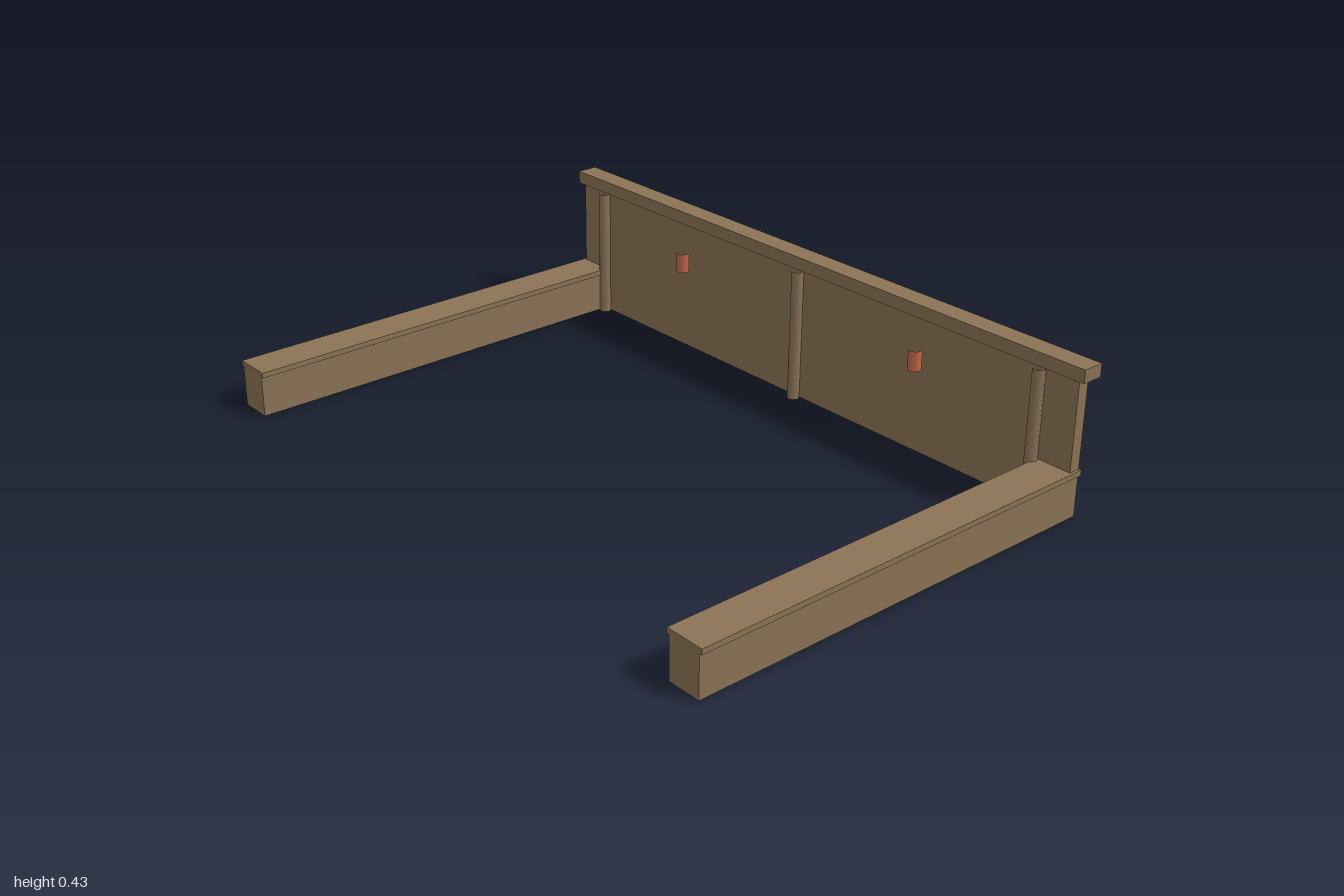
import * as THREE from 'three';

export function createModel() {
  const group = new THREE.Group();
  const wood = new THREE.MeshStandardMaterial({ color: 0x8b7355 });
  wood.name = 'weathered wood';
  const copper = new THREE.MeshStandardMaterial({ color: 0xc0694a });
  copper.name = 'copper';

  // Box given by its lower and upper corners
  function box(name, [x0, y0, z0], [x1, y1, z1]) {
    const mesh = new THREE.Mesh(new THREE.BoxGeometry(x1 - x0, y1 - y0, z1 - z0), wood);
    mesh.position.set((x0 + x1) / 2, (y0 + y1) / 2, (z0 + z1) / 2);
    mesh.name = name;
    group.add(mesh);
  }

  // Upright open tube
  function tube(name, material, radius, x, y0, y1, z) {
    const geometry = new THREE.CylinderGeometry(radius, radius, y1 - y0, 8, 1, true);
    const mesh = new THREE.Mesh(geometry, material);
    mesh.position.set(x, (y0 + y1) / 2, z);
    mesh.name = name;
    group.add(mesh);
  }

  // Tall back wall with its overhanging cap
  box('backWall', [-0.98, 0, -0.635], [0.98, 0.395, -0.6]);
  box('backCap', [-1, 0.395, -0.656], [1, 0.433, -0.591]);

  // Low side walls with thin caps
  for (const [side, s] of [['left', 1], ['right', -1]]) {
    const [a, b] = s > 0 ? [0.88, 0.98] : [-0.98, -0.88];
    box(side + 'SideWall', [a, 0, -0.634], [b, 0.121, 0.656]);
    box(side + 'SideCap', [a - 0.008, 0.121, -0.636], [b + 0.008, 0.137, 0.656]);
  }

  // Round posts along the inner face of the back wall
  for (const x of [-0.865, 0, 0.865]) tube('wallPost', wood, 0.0175, x, 0, 0.395, -0.585);

  // Small copper wall lamps
  for (const x of [-0.47, 0.47]) tube('wallLamp', copper, 0.019, x, 0.258, 0.317, -0.567);

  return group;
}
